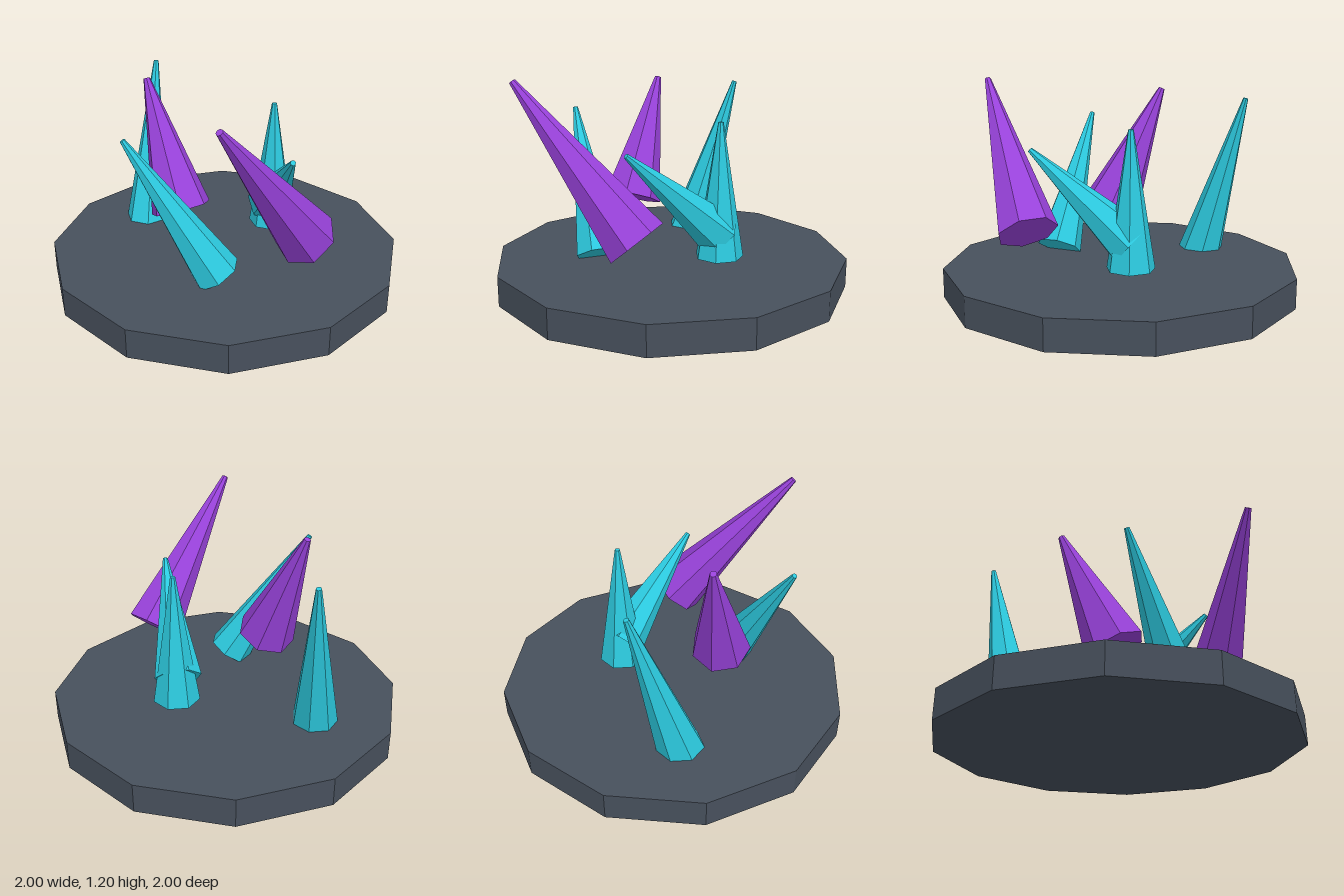
import * as THREE from 'three';

const UP = new THREE.Vector3(0, 1, 0);

export function createModel() {
  const group = new THREE.Group();
  const stone = new THREE.MeshStandardMaterial({ color: 0x47505c, flatShading: true });
  stone.name = 'slate stone';
  const teal = new THREE.MeshStandardMaterial({ color: 0x2ccadf, flatShading: true });
  teal.name = 'teal crystal';
  const purple = new THREE.MeshStandardMaterial({ color: 0x9842da, flatShading: true });
  purple.name = 'purple crystal';

  // twelve-sided stone slab
  const slabHeight = 0.166;
  const slab = new THREE.Mesh(new THREE.CylinderGeometry(1, 1, slabHeight, 12), stone);
  slab.name = 'stoneSlab';
  slab.position.y = slabHeight / 2;
  group.add(slab);

  // seven-sided tapered crystal running from the centre of its base to its tip
  function addCrystal(name, material, radius, base, tip) {
    const from = new THREE.Vector3(...base);
    const axis = new THREE.Vector3(...tip).sub(from);
    const length = axis.length();
    const geometry = new THREE.CylinderGeometry(radius * 0.11, radius, length, 7, 1, false, Math.PI);
    const crystal = new THREE.Mesh(geometry, material);
    crystal.name = name;
    crystal.position.copy(from).addScaledVector(axis, 0.5);
    crystal.quaternion.setFromUnitVectors(UP, axis.normalize());
    group.add(crystal);
  }

  addCrystal('uprightCrystal', teal, 0.134, [0.33, 0.215, 0], [0.33, 0.96, 0]);
  addCrystal('backCrystal', teal, 0.134, [-0.245, 0.12, -0.53], [-0.045, 1.085, -0.735]);
  addCrystal('sideCrystal', teal, 0.134, [-0.25, 0.2, 0.335], [-0.645, 0.963, 0.08]);
  addCrystal('leaningCrystal', teal, 0.134, [0.32, 0.345, -0.005], [0.098, 0.834, 0.51]);
  addCrystal('longPurpleCrystal', purple, 0.169, [0.18, 0.398, 0.535], [-0.465, 1.187, 0.727]);
  addCrystal('shortPurpleCrystal', purple, 0.169, [-0.285, 0.457, 0], [-0.318, 1.132, -0.3]);

  return group;
}
